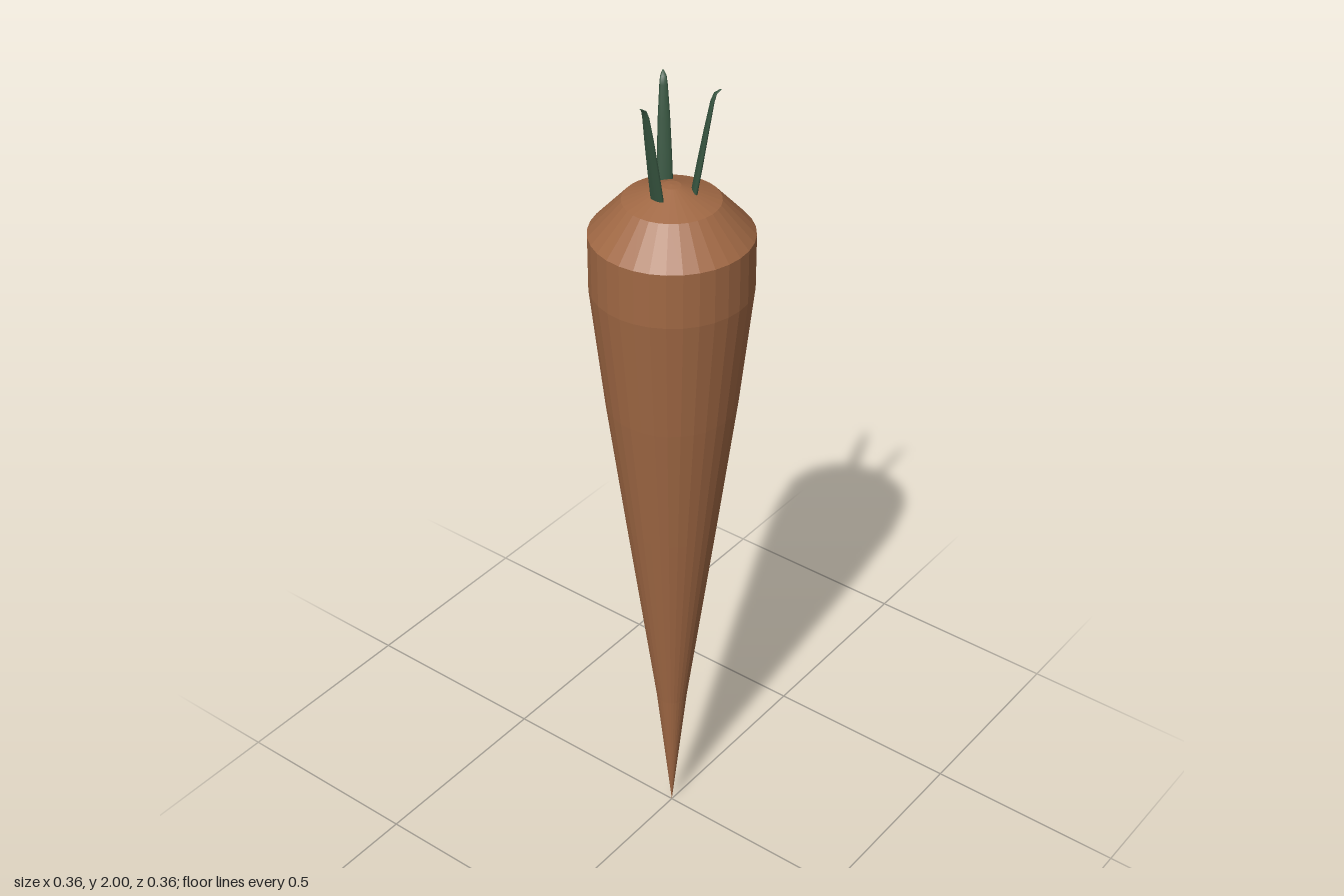
import * as THREE from 'three';

const rootMaterial = new THREE.MeshStandardMaterial({ color: 0xa06844, flatShading: true });
const leafMaterial = new THREE.MeshStandardMaterial({ color: 0x36543f });

// Tapered root with a domed crown
function makeRoot() {
  const profile = [
    [0, 0], [0.037, 0.36], [0.107, 0.9], [0.15, 1.24], [0.182, 1.54],
    [0.182, 1.67], [0.108, 1.75], [0.02, 1.783], [0, 1.785],
  ].map(([r, y]) => new THREE.Vector2(r, y));
  const root = new THREE.Mesh(new THREE.LatheGeometry(profile, 32), rootMaterial);
  root.name = 'root';
  return root;
}

// Stalk stations from base to tip: height, outward offset, half width, half thickness
const stations = [
  [1.755, 0, 0.018, 0.006],
  [1.83, 0.013, 0.016, 0.006],
  [1.91, 0.027, 0.013, 0.005],
  [1.975, 0.039, 0.009, 0.004],
  [1.992, 0.045, 0.007, 0.003],
  [2.0, 0.056, 0.002, 0.002],
];

// Flattened stalk that leans outward and hooks at its tip
function makeStalk(x, z, yaw) {
  const rows = stations.length - 1;
  const geometry = new THREE.CylinderGeometry(1, 1, 1, 12, rows);
  const p = geometry.attributes.position;
  for (let i = 0; i < p.count; i++) {
    const [y, out, w, t] = stations[Math.round((p.getY(i) + 0.5) * rows)];
    p.setXYZ(i, p.getX(i) * w, y, out + p.getZ(i) * t);
  }
  geometry.computeVertexNormals();
  const stalk = new THREE.Mesh(geometry, leafMaterial);
  stalk.position.set(x, 0, z);
  stalk.rotation.y = yaw;
  return stalk;
}

export function createModel() {
  const model = new THREE.Group();
  model.name = 'carrot';
  model.add(makeRoot());

  const stalks = new THREE.Group();
  stalks.name = 'stalks';
  const yaw = THREE.MathUtils.degToRad(139);
  const placements = [
    ['frontStalk', 0, 0.048, 0],
    ['leftStalk', 0.038, -0.025, yaw],
    ['rightStalk', -0.038, -0.025, -yaw],
  ];
  for (const [name, x, z, angle] of placements) {
    const stalk = makeStalk(x, z, angle);
    stalk.name = name;
    stalks.add(stalk);
  }
  model.add(stalks);
  return model;
}
